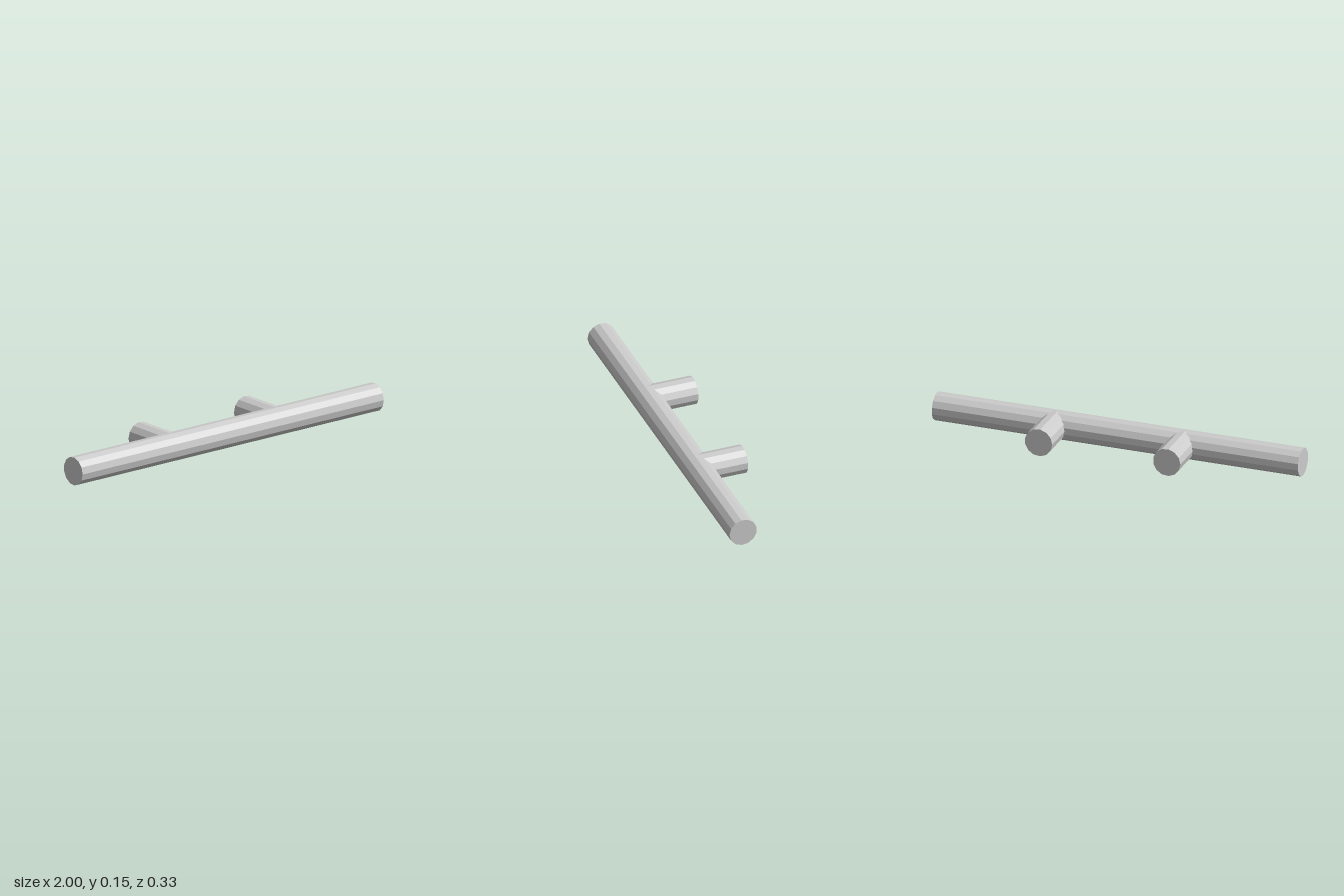
import * as THREE from 'three';

const RADIUS = 0.075, SIDES = 13, BAR_Z = 0.088, BACK_Z = -0.163;

export function createModel() {
  const group = new THREE.Group();
  const material = new THREE.MeshStandardMaterial({ color: 0xcccccc, flatShading: true });
  const centreY = 0.0745;

  // Long horizontal grip bar
  const barGeometry = new THREE.CylinderGeometry(RADIUS, RADIUS, 2, SIDES);
  barGeometry.rotateZ(-Math.PI / 2);
  const bar = new THREE.Mesh(barGeometry, material);
  bar.name = 'gripBar';
  bar.position.set(0, centreY, BAR_Z);
  group.add(bar);

  // Two mounting posts running back from the bar's axis
  const length = BAR_Z - BACK_Z;
  const postGeometry = new THREE.CylinderGeometry(RADIUS, RADIUS, length, SIDES, 1, false, -Math.PI / 2);
  postGeometry.rotateX(Math.PI / 2);
  for (const [name, x] of [['leftPost', 0.35], ['rightPost', -0.35]]) {
    const post = new THREE.Mesh(postGeometry, material);
    post.name = name;
    post.position.set(x, centreY, BACK_Z + length / 2);
    group.add(post);
  }
  return group;
}
